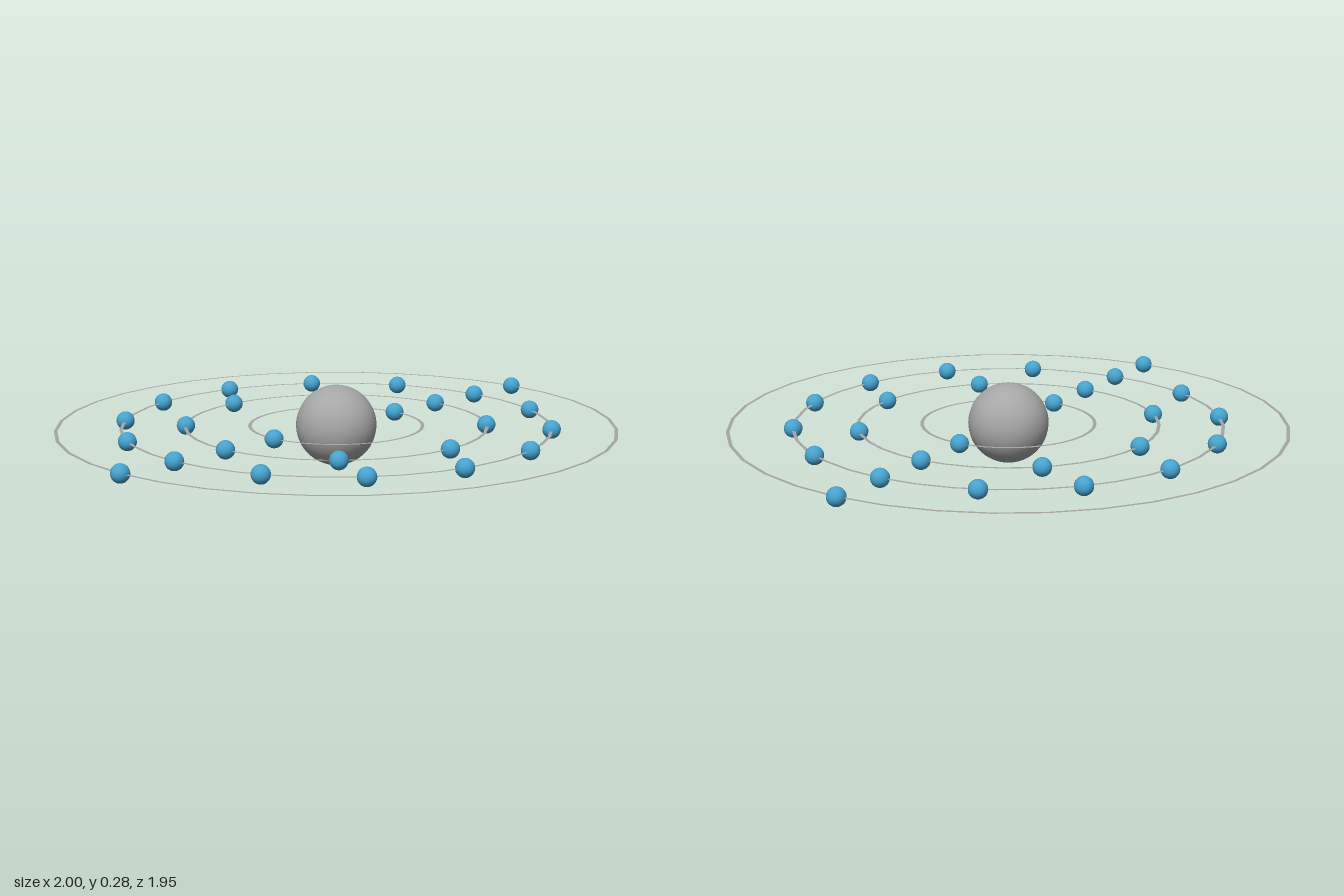
import * as THREE from 'three';

const CENTRE_Y = 0.14;
const ELECTRON_RADIUS = 0.032;
const RING_HALF_WIDTH = 0.006;
// orbit radius and number of electrons, from the inside out
const SHELLS = [[0.301, 2], [0.523, 8], [0.745, 14], [0.968, 2]];

export function createModel() {
  const nucleusGrey = new THREE.MeshStandardMaterial({ color: 0xa6a6a6 });
  nucleusGrey.name = 'nucleusGrey';
  const orbitGrey = new THREE.MeshStandardMaterial({ color: 0xa6a6a6, side: THREE.DoubleSide });
  orbitGrey.name = 'orbitGrey';
  const electronBlue = new THREE.MeshStandardMaterial({ color: 0x46a3cf });
  electronBlue.name = 'electronBlue';

  const model = new THREE.Group();
  model.name = 'atomModel';

  // central nucleus
  const nucleus = new THREE.Mesh(new THREE.SphereGeometry(0.14, 32, 32), nucleusGrey);
  nucleus.name = 'nucleus';
  nucleus.position.y = CENTRE_Y;
  model.add(nucleus);

  const electronGeometry = new THREE.SphereGeometry(ELECTRON_RADIUS, 16, 16);

  SHELLS.forEach(([radius, count], i) => {
    const shell = new THREE.Group();
    shell.name = `shell${i + 1}`;
    shell.position.y = CENTRE_Y;

    // flat orbit ring
    const ringGeometry = new THREE.RingGeometry(radius - RING_HALF_WIDTH, radius + RING_HALF_WIDTH, 36);
    ringGeometry.rotateX(-Math.PI / 2);
    const orbit = new THREE.Mesh(ringGeometry, orbitGrey);
    orbit.name = 'orbit';
    shell.add(orbit);

    // electrons evenly spaced along the orbit
    for (let k = 0; k < count; k++) {
      const angle = (k / count) * Math.PI * 2;
      const electron = new THREE.Mesh(electronGeometry, electronBlue);
      electron.name = 'electron';
      electron.position.set(Math.cos(angle) * radius, 0, Math.sin(angle) * radius);
      shell.add(electron);
    }
    model.add(shell);
  });

  return model;
}
